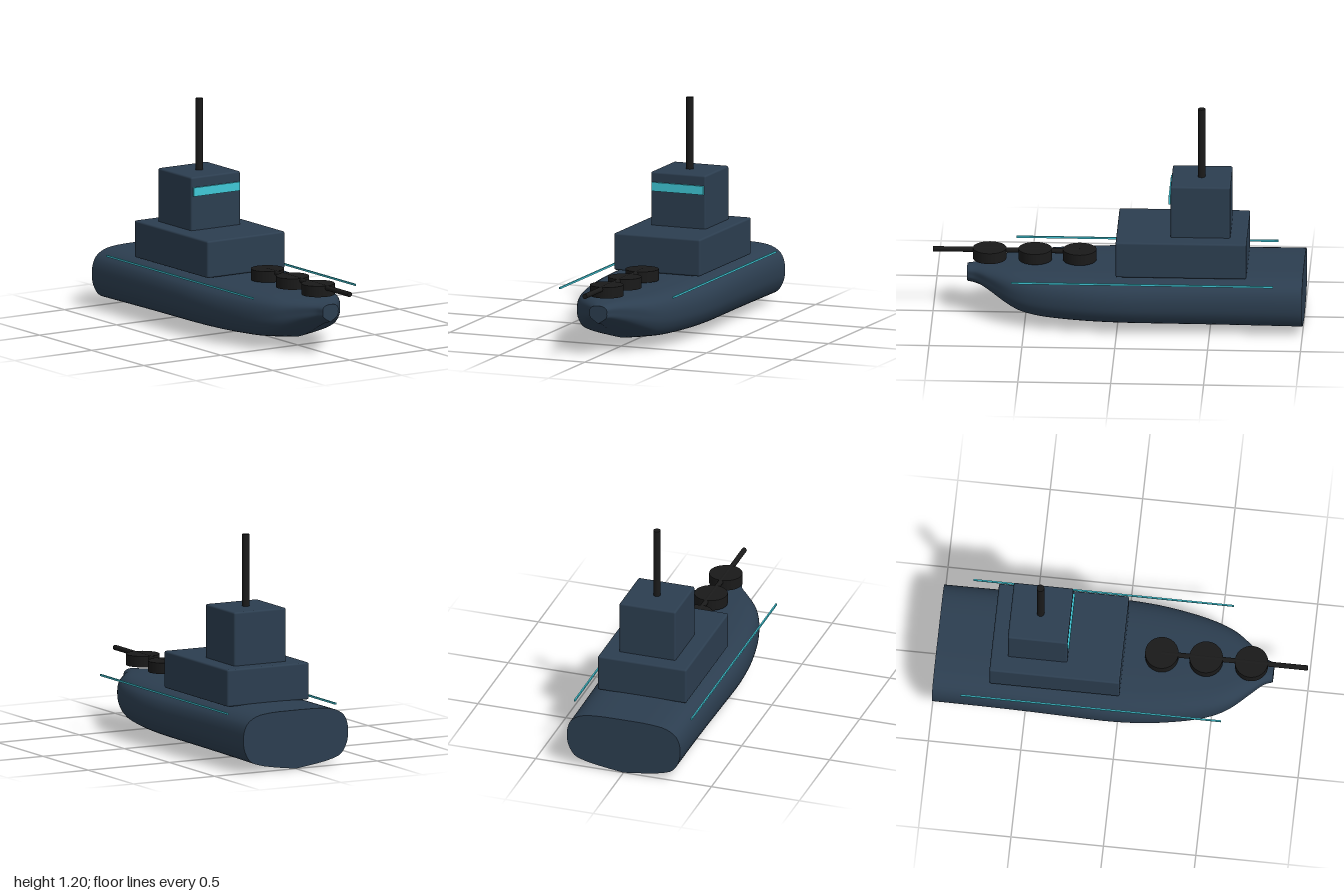
import * as THREE from 'three';
import { RoundedBoxGeometry } from 'three/addons/geometries/RoundedBoxGeometry.js';

const paint = (color) => new THREE.MeshStandardMaterial({ color });
const hullPaint = paint(0x2c3e50), dark = paint(0x1a1a1a), glow = paint(0x40c8d8);

// Hull stations from stern to bow: z, half width, deck height, keel height
const STATIONS = [
  [-1, 0.322, 0.323, 0.003], [-0.75, 0.324, 0.321, 0.007], [-0.5, 0.328, 0.319, 0.011],
  [-0.25, 0.335, 0.316, 0.015], [-0.03, 0.34, 0.313, 0.019], [0.15, 0.33, 0.31, 0.023],
  [0.3, 0.308, 0.308, 0.028], [0.42, 0.282, 0.305, 0.036], [0.52, 0.25, 0.302, 0.055],
  [0.6, 0.208, 0.298, 0.086], [0.7, 0.125, 0.29, 0.137], [0.77, 0.067, 0.282, 0.17],
  [0.815, 0.05, 0.278, 0.181],
];
// Half sections from deck centre to keel: width fraction, height fraction
const MID = [[0, 1], [0.5, 0.99], [0.76, 0.945], [0.92, 0.84], [0.985, 0.7], [1, 0.53],
  [0.975, 0.37], [0.87, 0.19], [0.7, 0.115], [0.4, 0.055], [0, 0]];
const BOW = [[0, 1], [0.4, 0.99], [0.65, 0.95], [0.88, 0.87], [1, 0.77], [1, 0.58],
  [1, 0.42], [0.93, 0.34], [0.75, 0.25], [0.4, 0.13], [0, 0]];

function hullSection(z, w, top, keel) {
  const blend = THREE.MathUtils.smoothstep(z, 0.5, 0.815);
  const half = MID.map(([x, y], i) => new THREE.Vector3(
    THREE.MathUtils.lerp(x, BOW[i][0], blend) * w,
    keel + THREE.MathUtils.lerp(y, BOW[i][1], blend) * (top - keel), z));
  const fine = new THREE.CatmullRomCurve3(half, false, 'centripetal').getPoints(30);
  const mirrored = fine.slice(1, -1).reverse().map((p) => new THREE.Vector3(-p.x, p.y, z));
  return [...fine, ...mirrored];
}

function hullGeometry() {
  // Smooth curves through the stations
  const path = new THREE.CatmullRomCurve3(STATIONS.map(([z, w]) => new THREE.Vector3(w, 0, z)), false, 'centripetal');
  const edge = new THREE.CatmullRomCurve3(STATIONS.map(([z, , t, k]) => new THREE.Vector3(t, k, z)), false, 'centripetal');
  const rows = 60, rings = [];
  for (let i = 0; i <= rows; i++) {
    const a = path.getPoint(i / rows), b = edge.getPoint(i / rows);
    rings.push(hullSection(a.z, a.x, b.x, b.y));
  }
  const n = rings[0].length, pos = [], index = [];
  rings.forEach((r) => r.forEach((p) => pos.push(p.x, p.y, p.z)));
  for (let i = 0; i < rows; i++) {
    for (let j = 0; j < n; j++) {
      const a = i * n + j, b = i * n + (j + 1) % n;
      index.push(a, a + n, b, b, a + n, b + n);
    }
  }
  // Flat transom and bow caps with their own vertices
  [[rings[0], false], [rings[rows], true]].forEach(([ring, front]) => {
    const c = pos.length / 3;
    pos.push(0, (ring[0].y + ring[30].y) / 2, ring[0].z);
    ring.forEach((p) => pos.push(p.x, p.y, p.z));
    for (let j = 0; j < n; j++) {
      const a = c + 1 + j, b = c + 1 + (j + 1) % n;
      index.push(c, ...(front ? [b, a] : [a, b]));
    }
  });
  const geo = new THREE.BufferGeometry();
  geo.setAttribute('position', new THREE.Float32BufferAttribute(pos, 3));
  geo.setIndex(index);
  geo.computeVertexNormals();
  return geo;
}

export function createModel() {
  const model = new THREE.Group();
  model.name = 'warship';
  const add = (name, geo, material, x, y, z, parent = model) => {
    const mesh = new THREE.Mesh(geo, material);
    mesh.name = name;
    mesh.position.set(x, y, z);
    parent.add(mesh);
    return mesh;
  };

  add('hull', hullGeometry(), hullPaint, 0, 0, 0);

  // Stacked superstructure
  add('deckhouse', new RoundedBoxGeometry(0.504, 0.202, 0.704, 3, 0.01), hullPaint, 0, 0.415, -0.345);
  add('bridge', new RoundedBoxGeometry(0.32, 0.302, 0.322, 3, 0.01), hullPaint, 0, 0.657, -0.446);
  add('bridgeWindow', new THREE.BoxGeometry(0.3, 0.048, 0.012), glow, 0, 0.728, -0.281);
  add('mast', new THREE.CylinderGeometry(0.02, 0.02, 0.41, 24), dark, 0, 0.995, -0.446);

  // Three gun turrets in line, each with a forward barrel
  [0.21, 0.45, 0.695].forEach((z, i) => {
    const turret = new THREE.Group();
    turret.name = `gunTurret${i + 1}`;
    turret.position.set(0, 0.345, z);
    model.add(turret);
    add('turretDrum', new THREE.CylinderGeometry(0.09, 0.09, 0.06, 40), dark, 0, 0, 0, turret);
    const barrel = add('gunBarrel', new THREE.CylinderGeometry(0.014, 0.014, 0.305, 20), dark, 0, 0.018, 0.1525, turret);
    barrel.rotation.x = Math.PI / 2;
  });

  // Light strips along both sides
  for (const [name, side] of [['leftLightStrip', 1], ['rightLightStrip', -1]]) {
    add(name, new THREE.BoxGeometry(0.008, 0.01, 1.41), glow, side * 0.332, 0.306, -0.14);
  }
  return model;
}
